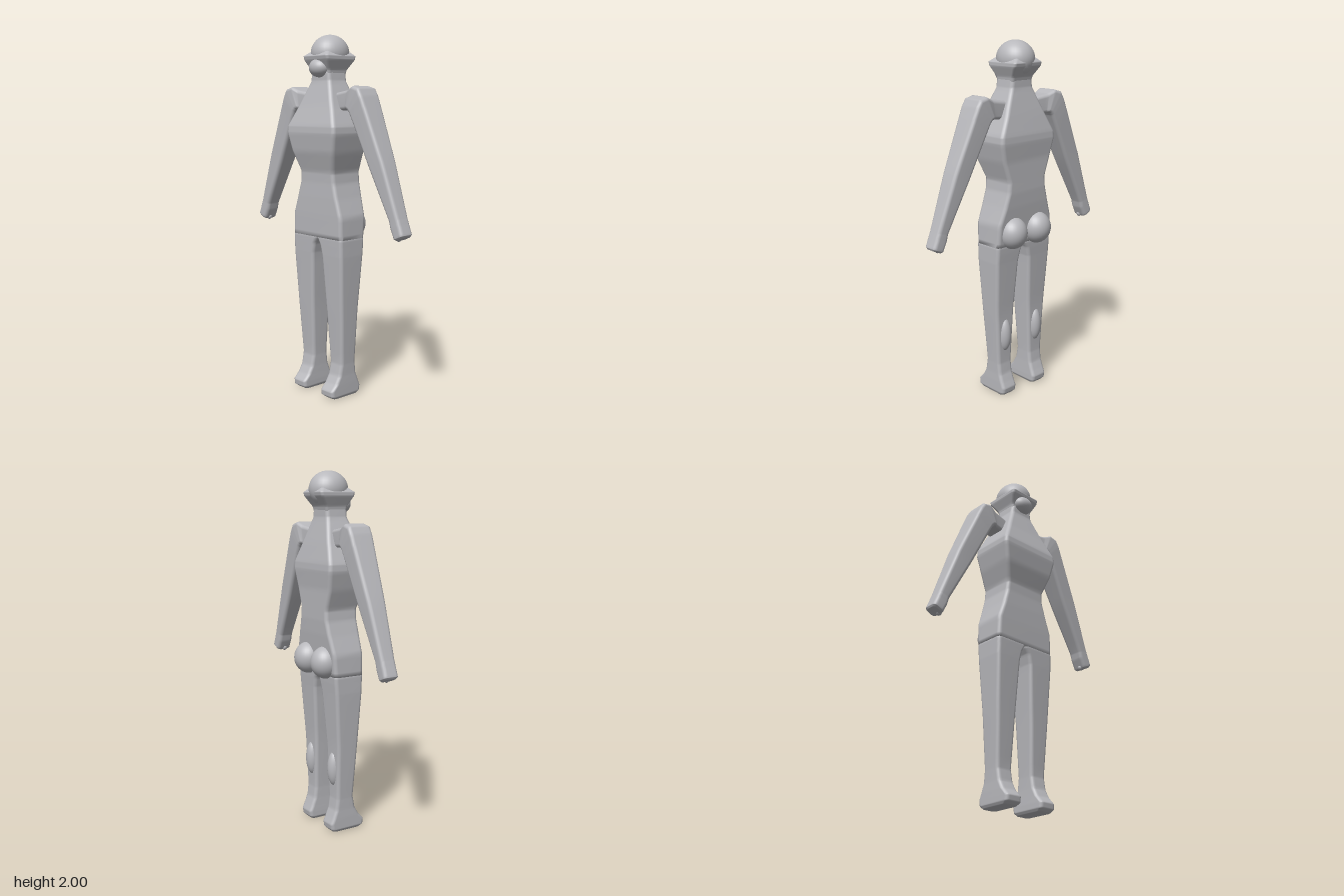
import * as THREE from 'three';

const skin = new THREE.MeshStandardMaterial({ color: 0xb8b8bc });
skin.name = 'plain grey';

// Unit ring of a rounded rectangle with half sizes hu, hv and corner radius r
function ring(hu, hv, radius) {
  const r = Math.min(radius, hu * 0.8, hv * 0.8), pts = [];
  for (let q = 0; q < 4; q++) {
    const su = q === 0 || q === 3 ? 1 : -1, sv = q < 2 ? 1 : -1;
    for (let k = 0; k <= 4; k++) {
      const t = (q + k / 4) * Math.PI / 2;
      pts.push([su * (hu - r) + r * Math.cos(t), sv * (hv - r) + r * Math.sin(t)]);
    }
  }
  return pts;
}

// Skin over sections [ax, ay, bx, by, zFront, zBack]: a side-to-side line A-B with a depth range
function loft(sections, radius) {
  const rows = [];
  sections.forEach((s, i) => {
    rows.push(s);
    const n = sections[i + 1];
    // extra rows beside each section keep its crease narrow
    if (n) for (const t of [0.2, 0.8]) rows.push(s.map((v, k) => v + (n[k] - v) * t));
  });
  const pos = [], index = [], N = 20;
  for (const [ax, ay, bx, by, zf, zb] of rows) {
    const len = Math.hypot(bx - ax, by - ay), ux = (bx - ax) / len, uy = (by - ay) / len;
    for (const [u, v] of ring(len / 2, (zf - zb) / 2, radius))
      pos.push((ax + bx) / 2 + ux * u, (ay + by) / 2 + uy * u, (zf + zb) / 2 + v);
  }
  for (let j = 0; j < rows.length - 1; j++)
    for (let i = 0; i < N; i++) {
      const a = j * N + i, b = j * N + (i + 1) % N;
      index.push(a, a + N, b, b, a + N, b + N);
    }
  // end caps
  const last = (rows.length - 1) * N;
  for (let i = 1; i < N - 1; i++) index.push(0, i, i + 1, last, last + i + 1, last + i);
  const g = new THREE.BufferGeometry();
  g.setAttribute('position', new THREE.Float32BufferAttribute(pos, 3));
  g.setIndex(index);
  g.computeVertexNormals();
  return g;
}

const level = ([y, hx, zf, zb]) => [-hx, y, hx, y, zf, zb];
const mirror = ([ax, ay, bx, by, zf, zb]) => [-bx, by, -ax, ay, zf, zb];

export function createModel() {
  const model = new THREE.Group();
  model.name = 'figure';
  const add = (name, geometry) => {
    const m = new THREE.Mesh(geometry, skin);
    m.name = name;
    model.add(m);
    return m;
  };
  const ball = (name, p, s) => {
    const m = add(name, new THREE.SphereGeometry(1, 32, 20));
    m.position.set(...p);
    m.scale.set(...s);
  };

  // Torso, hips to neck: y, half width, front, back
  add('torso', loft([
    [0.9, 0.2, 0.105, -0.075], [1.02, 0.197, 0.107, -0.085], [1.12, 0.163, 0.107, -0.095],
    [1.2, 0.14, 0.105, -0.1], [1.26, 0.135, 0.107, -0.1], [1.37, 0.172, 0.14, -0.1],
    [1.47, 0.195, 0.155, -0.11], [1.51, 0.192, 0.153, -0.108], [1.62, 0.138, 0.117, -0.085],
    [1.75, 0.08, 0.08, -0.055], [1.8, 0.073, 0.08, -0.055],
  ].map(level), 0.022));

  // Head: flared jaw block, skull and muzzle
  add('jaw', loft([
    [1.78, 0.072, 0.075, -0.052], [1.81, 0.076, 0.08, -0.06], [1.865, 0.1, 0.11, -0.098],
    [1.885, 0.1, 0.115, -0.103], [1.91, 0.07, 0.085, -0.08],
  ].map(level), 0.016));
  ball('skull', [0, 1.9, 0.002], [0.1, 0.1, 0.11]);
  ball('muzzle', [0, 1.822, 0.075], [0.064, 0.052, 0.058]);

  // Leg from sole to hip: inner side first
  const leg = [
    [0.005, 0.075, 0.162, 0.115, -0.06], [0.02, 0.066, 0.17, 0.135, -0.075],
    [0.05, 0.066, 0.17, 0.138, -0.08], [0.085, 0.067, 0.17, 0.105, -0.065],
    [0.13, 0.068, 0.169, 0.08, -0.048], [0.2, 0.068, 0.17, 0.067, -0.04],
    [0.5, 0.054, 0.186, 0.085, -0.047], [0.8, 0.036, 0.2, 0.102, -0.068],
    [0.86, 0.022, 0.2, 0.104, -0.073], [0.895, 0.002, 0.2, 0.105, -0.075],
    [0.93, 0.005, 0.19, 0.1, -0.07],
  ].map(([y, inner, outer, zf, zb]) => [inner, y, outer, y, zf, zb]);

  // Arm from fingertips to shoulder root: inner edge first
  const arm = [
    [0.542, 0.937, 0.592, 0.96, 0.045, -0.025], [0.532, 0.945, 0.597, 0.972, 0.054, -0.034],
    [0.508, 0.995, 0.577, 1.022, 0.054, -0.034], [0.497, 1.035, 0.564, 1.055, 0.054, -0.034],
    [0.36, 1.3, 0.46, 1.34, 0.065, -0.047], [0.25, 1.53, 0.345, 1.61, 0.077, -0.06],
    [0.225, 1.58, 0.318, 1.672, 0.08, -0.062], [0.212, 1.595, 0.295, 1.71, 0.08, -0.062],
    [0.198, 1.6, 0.25, 1.723, 0.078, -0.06], [0.185, 1.597, 0.2, 1.702, 0.068, -0.05],
    [0.08, 1.59, 0.08, 1.685, 0.055, -0.04],
  ];

  for (const [side, sx] of [['left', 1], ['right', -1]]) {
    const turn = sx > 0 ? (s) => s : mirror;
    add(side + 'Leg', loft(leg.map(turn), 0.02));
    add(side + 'Arm', loft(arm.map(turn), 0.02));
    ball(side + 'Buttock', [sx * 0.09, 0.97, -0.07], [0.083, 0.09, 0.086]);
    ball(side + 'Calf', [sx * 0.118, 0.365, -0.03], [0.04, 0.1, 0.042]);
    // small thumb nub below the wrist
    ball(side + 'Thumb', [sx * 0.54, 0.95, 0.015], [0.016, 0.018, 0.016]);
  }
  return model;
}
